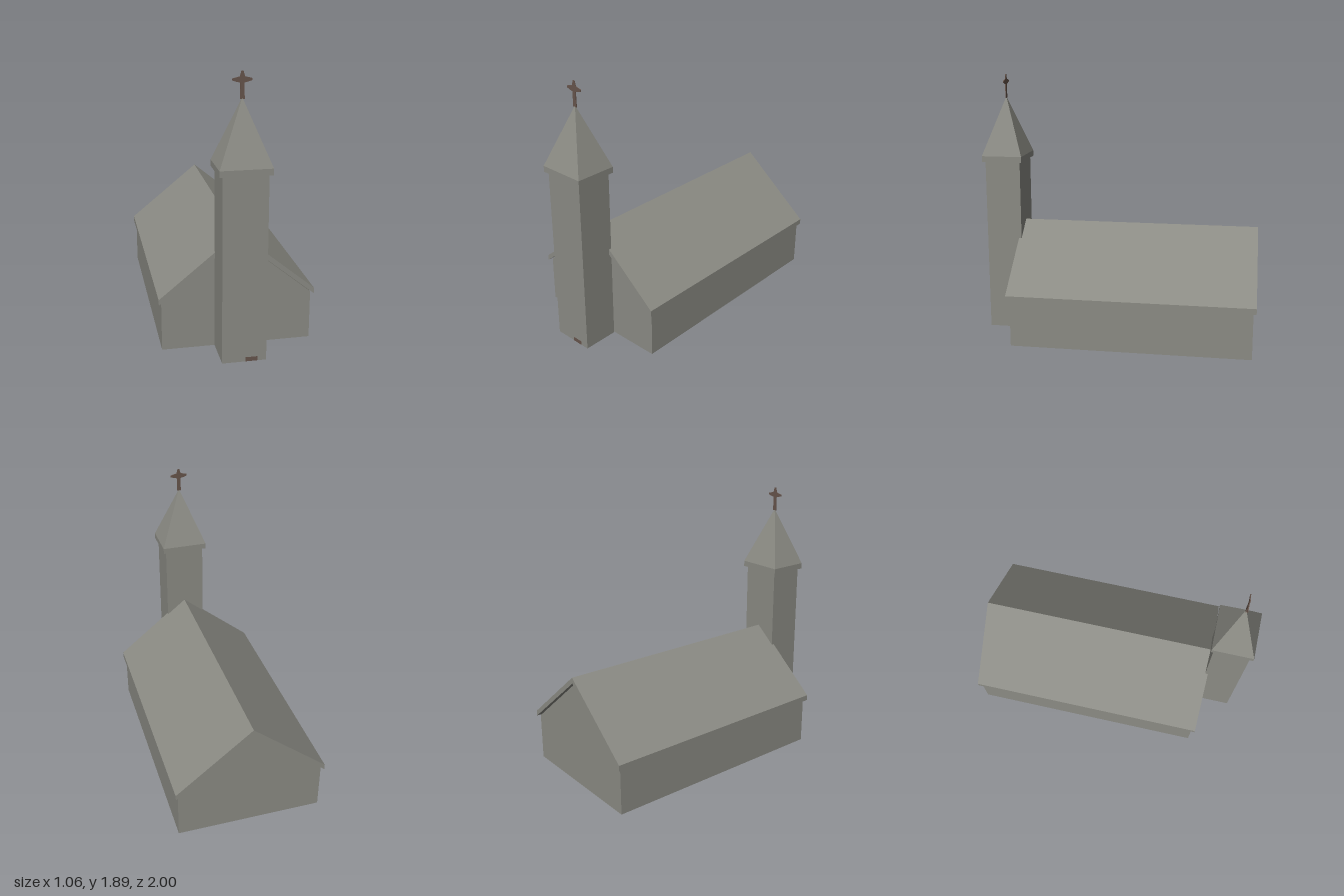
import * as THREE from 'three';

export function createModel() {
  const model = new THREE.Group();
  model.name = 'church';
  const stone = new THREE.MeshStandardMaterial({ color: 0x8b8b84, side: THREE.DoubleSide });
  stone.name = 'grey stone';
  const wood = new THREE.MeshStandardMaterial({ color: 0x66544b, side: THREE.DoubleSide });
  wood.name = 'brown wood';

  const add = (name, geometry, material, x = 0, y = 0, z = 0) => {
    const mesh = new THREE.Mesh(geometry, material);
    mesh.name = name;
    mesh.position.set(x, y, z);
    model.add(mesh);
    return mesh;
  };
  const outline = (points) => new THREE.Shape(points.map(([x, y]) => new THREE.Vector2(x, y)));
  const extrude = (points, depth) =>
    new THREE.ExtrudeGeometry(outline(points), { depth, bevelEnabled: false });
  const wall = (name, w, h, x, z, turn = 0) => {
    add(name, new THREE.PlaneGeometry(w, h), stone, x, h / 2, z).rotation.y = turn;
  };

  // Nave: open underneath, two gables and two side walls
  const gable = [[-0.513, 0], [0.513, 0], [0.513, 0.34], [0, 0.76], [-0.513, 0.34]];
  add('frontGable', new THREE.ShapeGeometry(outline(gable)), stone, 0, 0, 0.72);
  add('backGable', new THREE.ShapeGeometry(outline(gable)), stone, 0, 0, -0.98).scale.x = -1;
  for (const s of [-1, 1]) wall('naveSideWall', 1.7, 0.34, s * 0.513, -0.13, s * Math.PI / 2);

  // Pitched roof slab with overhanging eaves
  add('naveRoof', extrude([
    [-0.532, 0.335], [0, 0.767], [0.532, 0.335],
    [0.532, 0.375], [0, 0.81], [-0.532, 0.375],
  ], 1.745), stone, 0, 0, -1);

  // Bell tower: four walls, open underneath
  const cx = -0.006, cz = 0.853, tw = 0.295, td = 0.256, th = 1.27;
  for (const s of [-1, 1]) {
    wall('towerWall', tw, th, cx, cz + s * td / 2, s > 0 ? 0 : Math.PI);
    wall('towerSideWall', td, th, cx + s * tw / 2, cz, s * Math.PI / 2);
  }

  // Cap and four-sided spire
  add('towerCap', new THREE.BoxGeometry(0.34, 0.042, 0.294), stone, cx, 1.284, cz);
  const spire = new THREE.ConeGeometry(Math.SQRT1_2, 0.42, 4, 1, true).toNonIndexed();
  spire.rotateY(Math.PI / 4);
  spire.scale(0.34, 1, 0.294);
  spire.computeVertexNormals();
  add('spire', spire, stone, cx, 1.515, cz);

  // Cross with flared centre and pointed ends
  const half = [
    [0.015, 1.715], [0.013, 1.815], [0.035, 1.82], [0.063, 1.829],
    [0.063, 1.841], [0.035, 1.848], [0.016, 1.853], [0.006, 1.888],
  ];
  const mirrored = half.map(([x, y]) => [-x, y]).reverse();
  add('cross', extrude([...half, ...mirrored], 0.006), wood, cx, 0, cz - 0.003);

  // Inner doorway panel and small doorstep plate
  add('innerDoorPanel', new THREE.PlaneGeometry(tw, 0.63), wood, cx, 0.315, 0.718);
  add('doorStep', new THREE.PlaneGeometry(0.08, 0.03), wood, 0.042, 0.016, cz + td / 2 + 0.002);

  return model;
}
